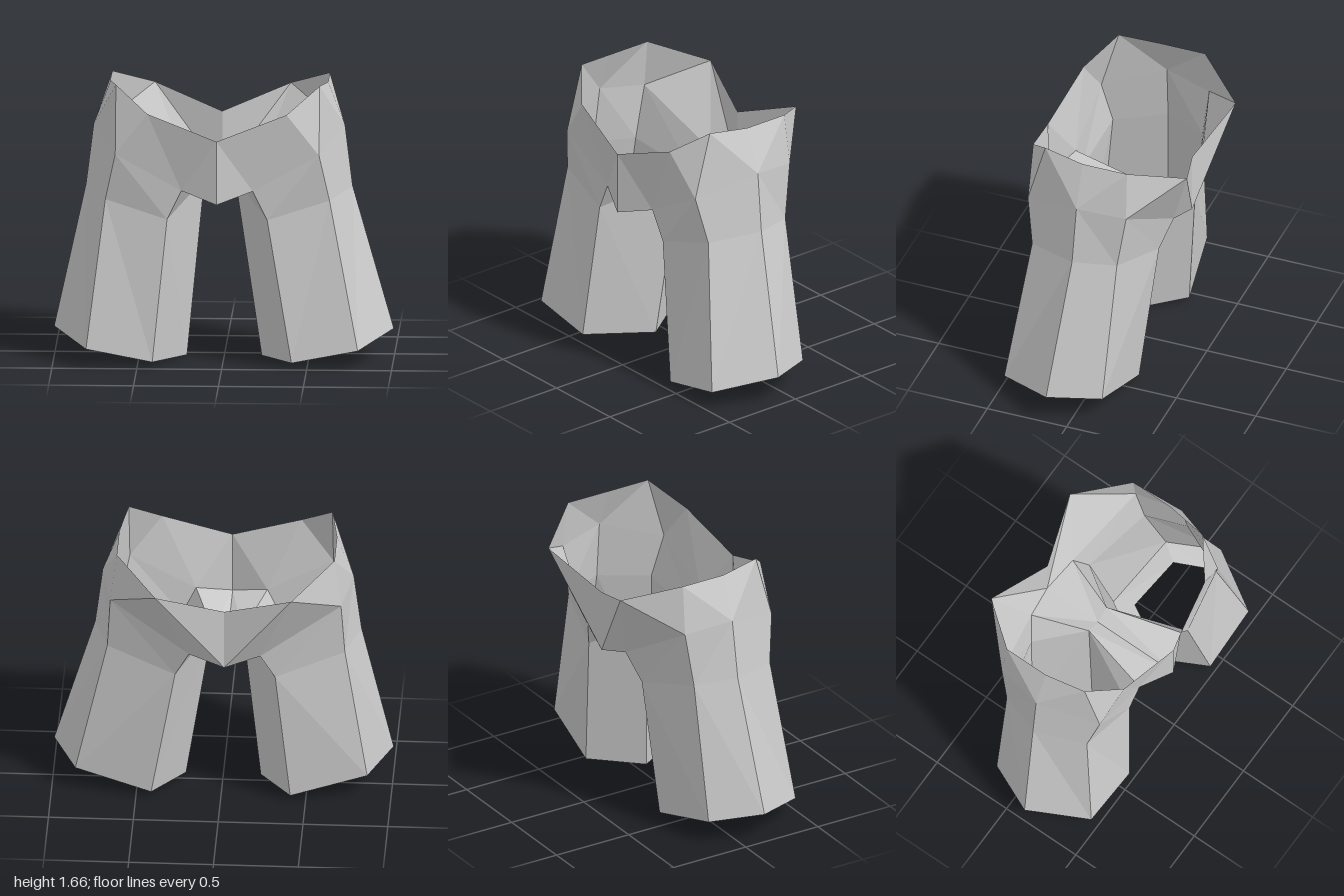
import * as THREE from 'three';

const material = new THREE.MeshStandardMaterial({ color: 0xcccccc, flatShading: true, side: THREE.DoubleSide });
const MID = -0.03; // centre line of the hips; the hems are centred on 0

// Mesh from polygons (corner lists), each fanned into triangles
function facesMesh(name, polygons, side) {
  const pos = [];
  for (const poly of polygons) {
    const p = side < 0 ? [...poly].reverse() : poly;
    // the mirrored side keeps the same diagonal by starting from the same corner
    const q = side < 0 ? [p[p.length - 1], ...p.slice(0, -1)] : p;
    for (let i = 1; i < q.length - 1; i++) pos.push(...q[0], ...q[i], ...q[i + 1]);
  }
  const geo = new THREE.BufferGeometry();
  geo.setAttribute('position', new THREE.Float32BufferAttribute(pos, 3));
  geo.computeVertexNormals();
  const mesh = new THREE.Mesh(geo, material);
  mesh.name = name;
  return mesh;
}

// Quads between two rings of equal size
const band = (top, low) => top.map((p, i) => {
  const j = (i + 1) % top.length;
  return [p, top[j], low[j], low[i]];
});

function buildSide(side) {
  const about = (c) => ([x, y, z]) => [side > 0 ? x : 2 * c - x, y, z];
  const upper = (pts) => pts.map(about(MID));
  const lower = (pts) => pts.map(about(0));

  // Rings run: outer, front outer, front inner, inner, back inner, back outer
  const thigh = upper([
    [0.755, 1.02, 0.06], [0.63, 0.99, 0.36], [0.265, 0.88, 0.41],
    [0.06, 1.04, -0.03], [0.265, 0.88, -0.30], [0.67, 1.0, -0.19],
  ]);
  const hem = lower([
    [1.0, 0.18, 0.13], [0.8, 0.11, 0.47], [0.41, 0.035, 0.47],
    [0.22, 0, 0.07], [0.41, 0.035, -0.23], [0.86, 0.15, -0.17],
  ]);
  const opening = lower([
    [0.86, 0.16, 0.12], [0.71, 0.115, 0.35], [0.48, 0.06, 0.35],
    [0.36, 0.04, 0.07], [0.46, 0.06, -0.11], [0.78, 0.15, -0.06],
  ]);

  // Waist edge from front centre round to back centre
  const w = upper([
    [MID, 1.37, 0.515], [0.38, 1.52, 0.45], [0.57, 1.665, 0.30], [0.61, 1.64, 0.05],
    [0.61, 1.64, -0.23], [0.37, 1.52, -0.515], [MID, 1.37, -0.395],
  ]);
  const [hipFront, hipSide, hipBack] = upper([[0.57, 1.27, 0.41], [0.71, 1.38, 0.05], [0.65, 1.34, -0.24]]);
  const [front, mid, back] = upper([[MID, 0.99, 0.515], [MID, 0.99, -0.03], [MID, 0.99, -0.395]]);
  const [cf, cb] = upper([[0.18, 1.055, 0.42], [0.18, 1.055, -0.36]]);
  const [t0, t1, t2, t3, t4, t5] = thigh;

  const hips = [
    // front panel
    [w[0], front, cf, w[1]], [w[1], cf, hipFront], [hipFront, cf, t2, t1], [w[1], hipFront, w[2]],
    // outer side
    [w[2], hipFront, hipSide], [hipFront, t1, t0, hipSide], [w[2], hipSide, w[3]],
    [w[3], hipSide, w[4]], [hipSide, t0, t5, hipBack], [hipSide, hipBack, w[4]],
    // back panel
    [w[4], hipBack, w[5]], [hipBack, cb, w[5]], [hipBack, t5, t4, cb], [w[5], cb, back, w[6]],
  ];
  // underside between the legs
  const crotch = [[front, mid, t3, cf], [mid, back, cb, t3], [t2, cf, t3], [t3, cb, t4]];

  const group = new THREE.Group();
  group.name = side > 0 ? 'leftHalf' : 'rightHalf';
  group.add(
    facesMesh('hips', hips, side),
    facesMesh('crotch', crotch, side),
    facesMesh('trouserLeg', band(thigh, hem), side),
    facesMesh('hem', band(hem, opening), side),
  );
  return group;
}

export function createModel() {
  const model = new THREE.Group();
  model.name = 'trousers';
  model.add(buildSide(1), buildSide(-1));
  return model;
}
